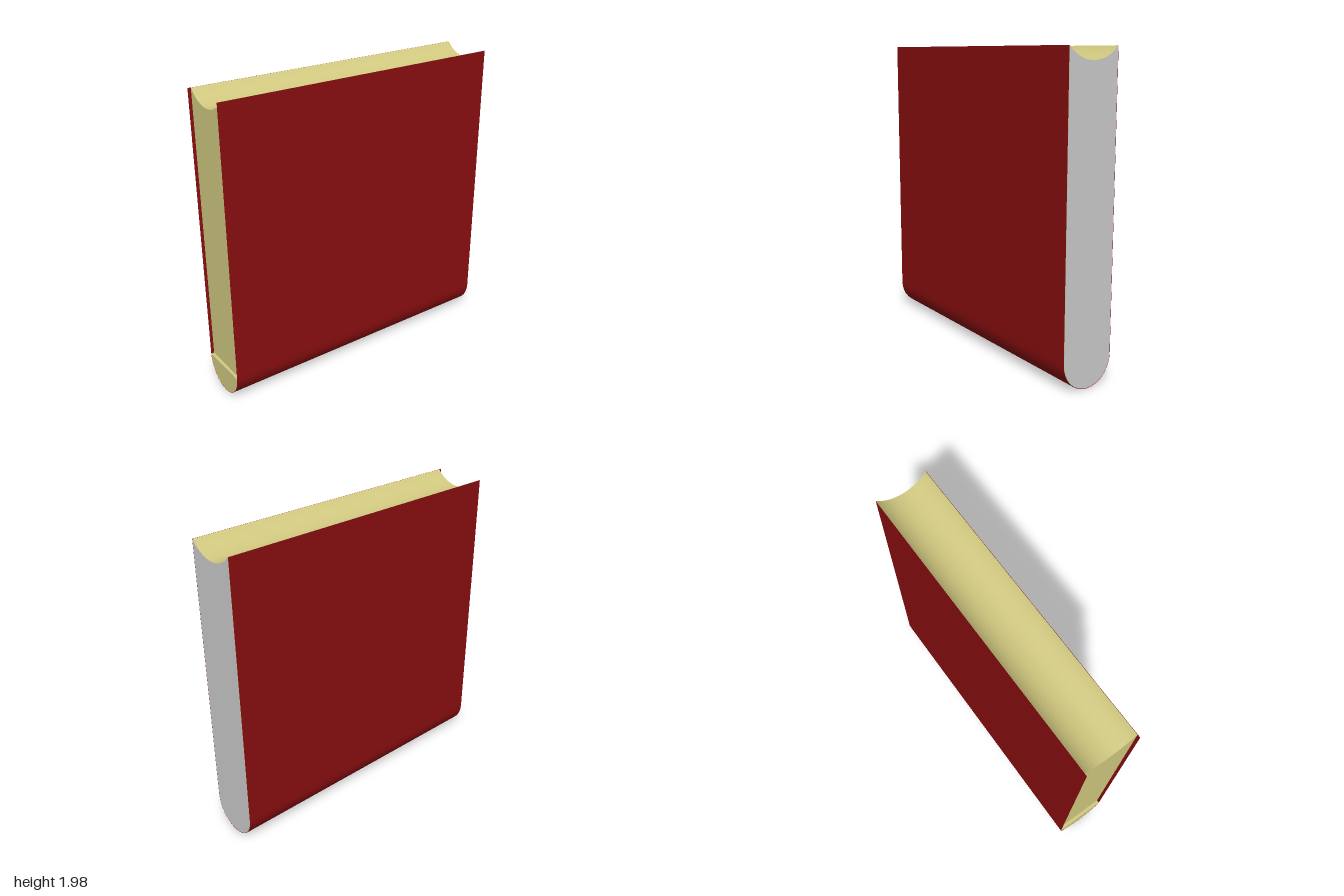
import * as THREE from 'three';

const HALF_W = 0.175, TOP = 1.98, SPINE_Y = 0.18, DIP = 0.08, SEG = 16;

const red = new THREE.MeshStandardMaterial({ color: 0x8b0e10, side: THREE.DoubleSide, flatShading: true });
const paper = new THREE.MeshStandardMaterial({ color: 0xd1c980, flatShading: true });
const grey = new THREE.MeshStandardMaterial({ color: 0xcccccc, flatShading: true });

// Points of the rounded spine, from -x to +x through the bottom
function spineArc(halfW, bottom) {
  return Array.from({ length: SEG + 1 }, (_, i) => {
    const a = Math.PI + (Math.PI * i) / SEG;
    return new THREE.Vector2(halfW * Math.cos(a), SPINE_Y + (SPINE_Y - bottom) * Math.sin(a));
  });
}

// Points of the concave fore edge, from +x to -x
function foreEdge(halfW) {
  const r = (halfW * halfW + DIP * DIP) / (2 * DIP);
  const half = Math.asin(halfW / r);
  return Array.from({ length: SEG + 1 }, (_, i) => {
    const a = half * (1 - (2 * i) / SEG);
    return new THREE.Vector2(r * Math.sin(a), TOP - DIP + r * (1 - Math.cos(a)));
  });
}

function extrude(points, z0, z1) {
  return new THREE.ExtrudeGeometry(new THREE.Shape(points), { depth: z1 - z0, bevelEnabled: false }).translate(0, 0, z0);
}

function addMesh(group, name, geometry, material) {
  const mesh = new THREE.Mesh(geometry, material);
  mesh.name = name;
  group.add(mesh);
}

// Thin sheet running down one board, round the spine and up the other
function coverGeometry() {
  const path = [new THREE.Vector2(-HALF_W, TOP), ...spineArc(HALF_W, 0), new THREE.Vector2(HALF_W, TOP)];
  const geometry = new THREE.PlaneGeometry(1, 2, path.length - 1, 1);
  const pos = geometry.attributes.position;
  for (let i = 0; i < pos.count; i++) {
    const p = path[i % path.length];
    pos.setXYZ(i, p.x, p.y, i < path.length ? -1 : 1);
  }
  geometry.computeVertexNormals();
  return geometry;
}

export function createModel() {
  const book = new THREE.Group();
  book.name = 'book';

  addMesh(book, 'cover', coverGeometry(), red);

  // Page block, recessed at the front; its back end is grey
  const inner = HALF_W - 0.002;
  const pages = extrude([...spineArc(inner, 0.003), ...foreEdge(inner)], -1, 0.98);
  const [caps, sides] = pages.groups;
  pages.clearGroups();
  pages.addGroup(0, caps.count / 2, 1);
  pages.addGroup(caps.count / 2, caps.count / 2, 0);
  pages.addGroup(sides.start, sides.count, 0);
  addMesh(book, 'pages', pages, [paper, grey]);

  // Half-round end of the spine, flush with the cover
  addMesh(book, 'spineEnd', extrude(spineArc(inner, 0.003), 0.98, 1), paper);

  return book;
}
